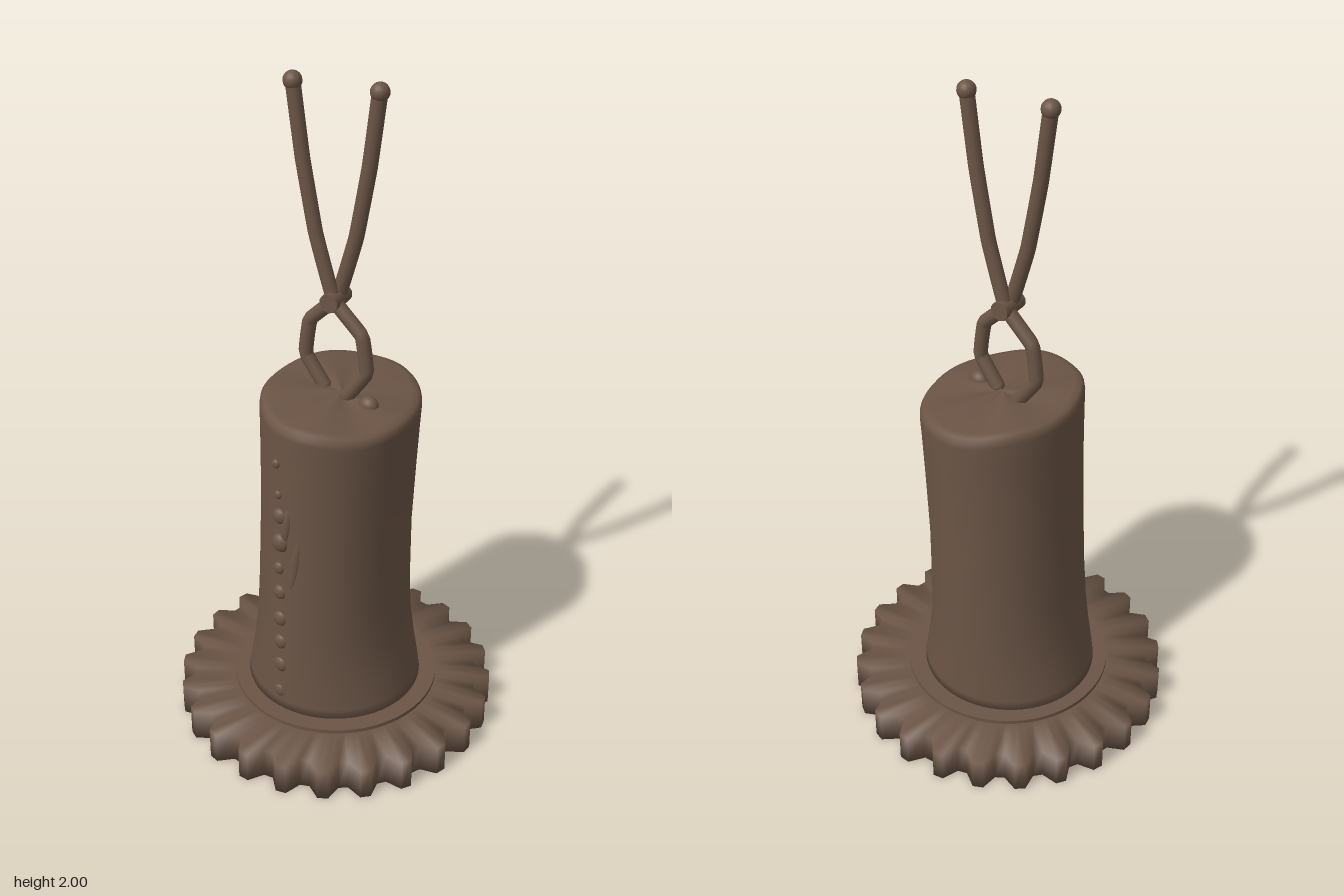
import * as THREE from 'three';

const brown = new THREE.MeshStandardMaterial({ color: 0x6b5546 });
brown.name = 'brown wax';

function add(group, name, geometry, x = 0, y = 0, z = 0) {
  const mesh = new THREE.Mesh(geometry, brown);
  mesh.name = name;
  mesh.position.set(x, y, z);
  group.add(mesh);
  return mesh;
}

// Smooth closed surface through rings, listed from the bottom centre to the top centre
function loft(ringCount, sides, point) {
  const positions = [], index = [];
  for (let j = 0; j < ringCount; j++) {
    for (let i = 0; i < sides; i++) positions.push(...point(j, i, (i / sides) * Math.PI * 2));
  }
  for (let j = 0; j < ringCount - 1; j++) {
    for (let i = 0; i < sides; i++) {
      const a = j * sides + i, b = j * sides + ((i + 1) % sides);
      index.push(a, a + sides, b, b, a + sides, b + sides);
    }
  }
  const g = new THREE.BufferGeometry();
  g.setAttribute('position', new THREE.Float32BufferAttribute(positions, 3));
  g.setIndex(index);
  g.computeVertexNormals();
  return g;
}

// Fluted dish: 24 teeth, each with two tip points and two valley points
function dishGeometry() {
  const rings = [[0, 0], [1, 0], [1, 0.098], [0.31, 0.098], [0, 0.098]];
  return loft(rings.length, 96, (j, i, a) => {
    const [f, y] = rings[j];
    const rim = i % 4 < 2 ? 0.48 : 0.436;
    const r = f === 1 ? rim : f;
    const t = a + THREE.MathUtils.degToRad(3.8);
    return [r * Math.cos(t), y, r * Math.sin(t)];
  });
}

// Leaning candle: height, centre x, half width, half depth
const BODY = [
  [0.1, 0, 0, 0], [0.1, -0.005, 0.267, 0.262], [0.14, -0.005, 0.26, 0.262],
  [0.22, -0.005, 0.243, 0.261], [0.32, -0.005, 0.226, 0.26], [0.45, -0.002, 0.217, 0.259],
  [0.65, 0.003, 0.212, 0.257], [0.85, 0.011, 0.214, 0.257], [1.0, 0.016, 0.217, 0.259],
  [1.06, 0.018, 0.219, 0.261], [1.077, 0.019, 0.217, 0.259], [1.088, 0.019, 0.208, 0.249],
  [1.092, 0.019, 0.19, 0.23], [1.094, 0.019, 0.1, 0.12], [1.094, 0.019, 0, 0],
];
function candleGeometry() {
  return loft(BODY.length, 64, (j, i, a) => {
    const [y, cx, rx, rz] = BODY[j];
    const x = cx + rx * Math.cos(a);
    const tilt = THREE.MathUtils.smoothstep(y, 0.7, 1.06);
    const uneven = tilt * 0.003 * Math.sin(a * 5 + 1);
    return [x, y - 0.09 * tilt * (x - cx) + uneven, rz * Math.sin(a)];
  });
}

export function createModel() {
  const model = new THREE.Group();
  model.name = 'candle with tongs';

  add(model, 'flutedDish', dishGeometry());
  add(model, 'dishRing', new THREE.CylinderGeometry(0.312, 0.312, 0.02, 64), 0, 0.1, 0);
  add(model, 'candleBody', candleGeometry());

  // Wax beads running down the front: x, y, radius
  const beads = new THREE.Group();
  beads.name = 'waxBeads';
  model.add(beads);
  const drops = [
    [-0.05, 0.17, 0.024], [-0.045, 0.27, 0.027], [-0.045, 0.355, 0.026], [-0.045, 0.44, 0.026],
    [-0.045, 0.535, 0.024], [-0.047, 0.62, 0.02], [-0.04, 0.71, 0.03], [-0.04, 0.8, 0.025],
    [-0.045, 0.87, 0.013], [-0.05, 0.97, 0.014],
  ];
  for (const [x, y, r] of drops) {
    add(beads, 'waxBead', new THREE.SphereGeometry(r, 14, 10), x, y, 0.25).scale.set(0.9, 1, 0.6);
  }
  // Faint wax runs beside the beads
  for (const [x, y, h] of [[0.005, 0.64, 0.11], [-0.03, 0.19, 0.07], [-0.02, 0.77, 0.07]]) {
    const run = add(beads, 'waxRun', new THREE.SphereGeometry(1, 14, 10), x, y, 0.25);
    run.scale.set(0.016, h, 0.012);
    run.rotation.z = -0.15;
  }

  // Two crossing arms, one a mirror of the other
  const path = [[0.12, 1.975], [0.093, 1.77], [0.055, 1.565], [0, 1.38],
    [-0.088, 1.29], [-0.103, 1.18], [-0.045, 1.095]];
  for (const side of [1, -1]) {
    const arm = new THREE.Group();
    arm.name = side > 0 ? 'leftArm' : 'rightArm';
    model.add(arm);
    const z = -0.012 * side;
    const points = path.map(([x, y]) => new THREE.Vector3(x * side, y, z));
    const curve = new THREE.CatmullRomCurve3(points, false, 'catmullrom', 0.12);
    add(arm, 'armRod', new THREE.TubeGeometry(curve, 60, 0.021, 10), 0, 0, 0);
    add(arm, 'armTip', new THREE.SphereGeometry(0.026, 16, 12), 0.12 * side, 1.974, z);
    add(arm, 'armFoot', new THREE.SphereGeometry(0.021, 12, 8), -0.045 * side, 1.095, z);
  }
  const pivot = add(model, 'pivotPin', new THREE.CylinderGeometry(0.028, 0.028, 0.086, 10), 0, 1.38, 0);
  pivot.rotation.x = Math.PI / 2;

  // Small lump of wax on the candle top
  add(model, 'waxLump', new THREE.SphereGeometry(0.03, 14, 10), 0.115, 1.085, 0.02).scale.set(1, 0.9, 0.8);

  return model;
}
